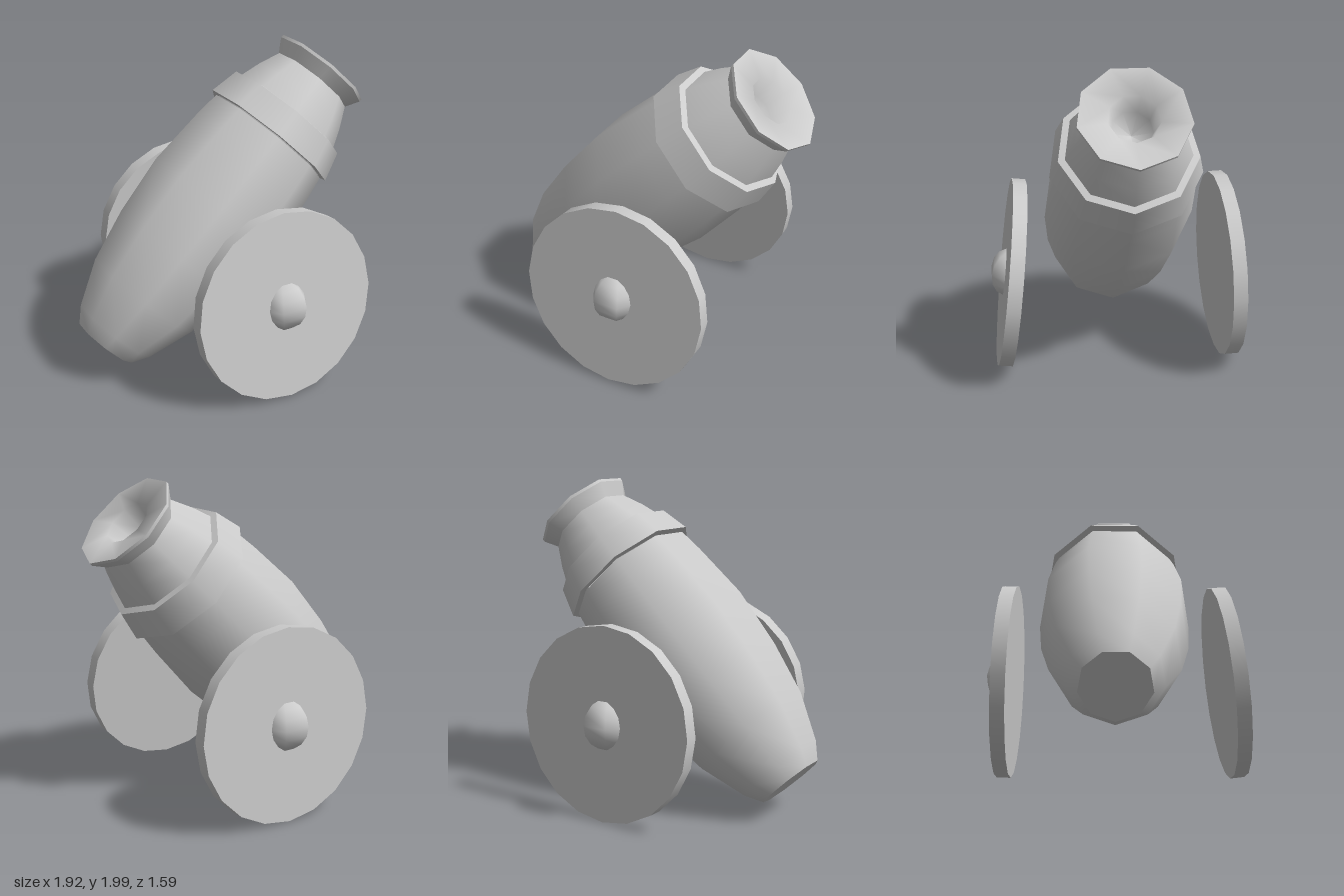
import * as THREE from 'three';

const material = new THREE.MeshStandardMaterial({ color: 0xcccccc, side: THREE.DoubleSide });

function addMesh(parent, name, geometry) {
  const mesh = new THREE.Mesh(geometry, material);
  mesh.name = name;
  parent.add(mesh);
  return mesh;
}

// Nine-sided turned piece; profile is [radius, height] from breech to muzzle
function turned(parent, name, profile) {
  const points = profile.map(([r, h]) => new THREE.Vector2(r, h));
  return addMesh(parent, name, new THREE.LatheGeometry(points, 9, Math.PI / 2));
}

function createBarrel() {
  const barrel = new THREE.Group();
  barrel.name = 'barrel';
  turned(barrel, 'breechCap', [[0, -0.424], [0.208, -0.424]]);
  turned(barrel, 'barrelBody', [
    [0.208, -0.424], [0.275, -0.325], [0.384, -0.042], [0.445, 0.297],
    [0.475, 0.679], [0.445, 1.06], [0.424, 1.22],
  ]);
  // Raised reinforcing band
  turned(barrel, 'bandLowerEdge', [[0.41, 1.228], [0.461, 1.228]]);
  turned(barrel, 'band', [[0.461, 1.228], [0.416, 1.41]]);
  turned(barrel, 'bandUpperEdge', [[0.416, 1.41], [0.375, 1.417]]);
  // Neck and flared muzzle
  turned(barrel, 'neck', [[0.375, 1.417], [0.332, 1.54], [0.272, 1.672]]);
  turned(barrel, 'muzzleFlare', [[0.272, 1.672], [0.325, 1.755]]);
  turned(barrel, 'muzzleRim', [[0.325, 1.755], [0.325, 1.774]]);
  turned(barrel, 'bore', [[0.325, 1.774], [0.15, 1.75], [0.12, 1.62], [0, 1.55]]);
  barrel.rotation.z = -Math.PI / 4;
  barrel.position.set(-0.525, 0.525, -0.012);
  return barrel;
}

// Solid disc wheel with a half-round hub; side is +1 or -1 along z
function createWheel(name, side, z, tilt) {
  const wheel = new THREE.Group();
  wheel.name = name;
  const disc = new THREE.CylinderGeometry(0.592, 0.592, 0.086, 20);
  disc.rotateX(-Math.PI / 2);
  addMesh(wheel, 'disc', disc);
  wheel.rotation.x = tilt;
  wheel.position.set(0.055, 0.6, z);

  const hub = addMesh(wheel, 'hub', new THREE.SphereGeometry(0.16, 3, 8, 0, Math.PI));
  hub.position.z = side * -0.015;
  if (side < 0) hub.rotation.y = Math.PI;
  return wheel;
}

export function createModel() {
  const model = new THREE.Group();
  model.name = 'cannon';
  model.add(createBarrel());
  // The wheels lean by different amounts
  model.add(createWheel('frontWheel', 1, 0.677, -0.122));
  model.add(createWheel('backWheel', -1, -0.668, 0.032));
  return model;
}
